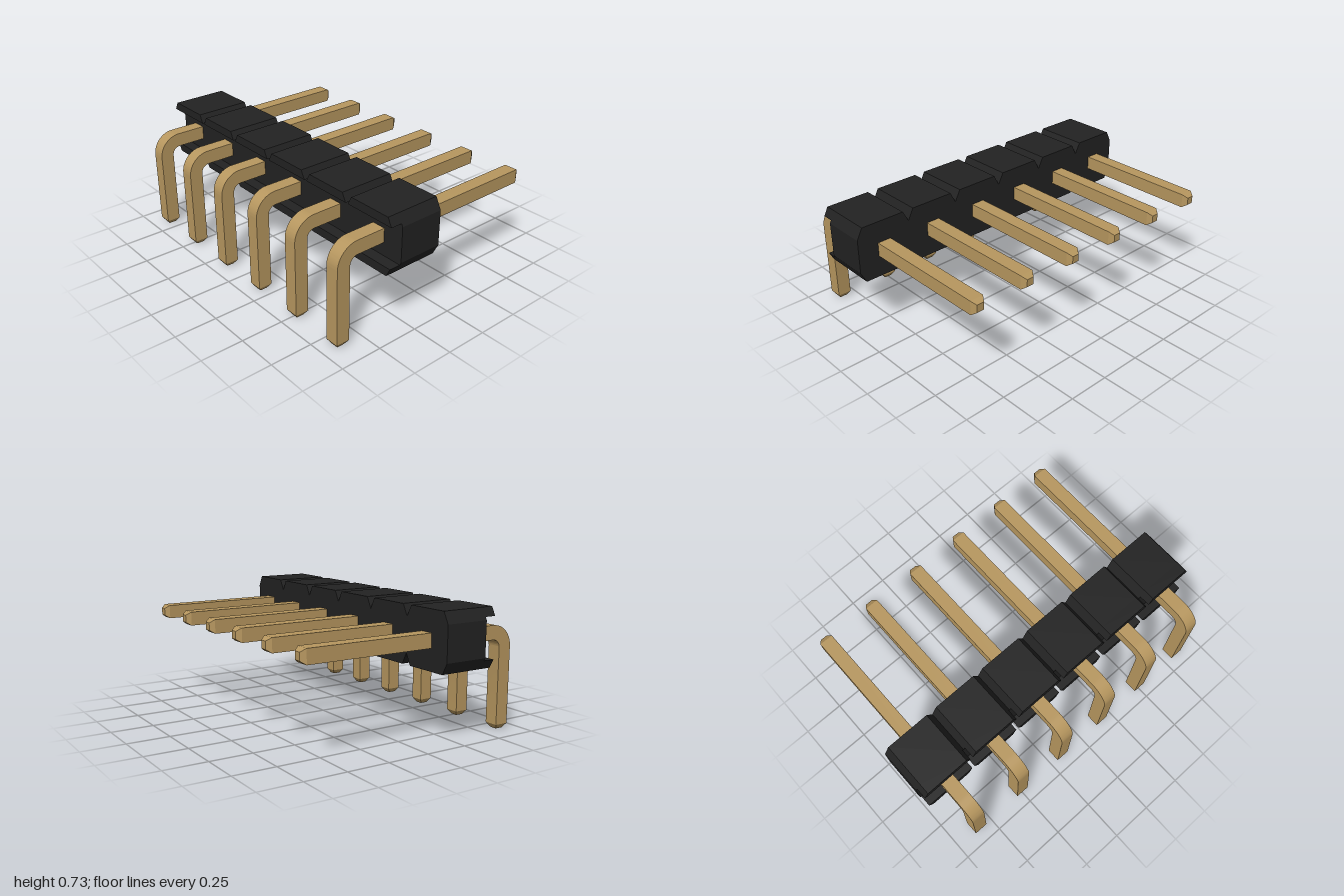
import * as THREE from 'three';
import { toCreasedNormals } from 'three/addons/utils/BufferGeometryUtils.js';

const PINS = 6, PITCH = 2 / PINS;
const Y0 = 0.396, Y1 = 0.729;          // housing bottom and top
const CH_Z = 0.034, CH_Y = 0.065;      // corner chamfer of each cell
const LIP = 0.049;                     // thickness of the rear lips
const X_BACK = -0.442, X_WALL = -0.375, X_FRONT = -0.11;
const HALF = 0.041, TIP = 0.022, TIP_LEN = 0.028;
const PIN_Y = 0.562, LEG_X = -0.639, X_END = 0.68;

// Extrude a (z, y) outline along x from x0 to x1
function extrudeX(points, x0, x1) {
  const shape = new THREE.Shape(points.map(([z, y]) => new THREE.Vector2(-z, y)));
  const geo = new THREE.ExtrudeGeometry(shape, { depth: x1 - x0, bevelEnabled: false });
  geo.rotateY(Math.PI / 2);
  return geo.translate(x0, 0, 0);
}

// Square frustum pointing up, starting at y = 0
function tipGeometry() {
  const geo = new THREE.CylinderGeometry(TIP * Math.SQRT2, HALF * Math.SQRT2, TIP_LEN, 4, 1);
  geo.rotateY(Math.PI / 4).translate(0, TIP_LEN / 2, 0);
  return toCreasedNormals(geo, 0.3);
}

// Side outline of the bent square pin
function pinGeometry() {
  const cx = -0.55, cy = PIN_Y + HALF - 0.13, end = X_END - TIP_LEN;
  const s = new THREE.Shape();
  s.moveTo(LEG_X - HALF, TIP_LEN);
  s.lineTo(LEG_X + HALF, TIP_LEN);
  s.lineTo(LEG_X + HALF, cy);
  s.absarc(cx, cy, 0.048, Math.PI, Math.PI / 2, true);
  s.lineTo(end, PIN_Y - HALF);
  s.lineTo(end, PIN_Y + HALF);
  s.lineTo(cx, PIN_Y + HALF);
  s.absarc(cx, cy, 0.13, Math.PI / 2, Math.PI, false);
  const geo = new THREE.ExtrudeGeometry(s, { depth: HALF * 2, bevelEnabled: false, curveSegments: 12 });
  return toCreasedNormals(geo.translate(0, 0, -HALF), 0.5);
}

export function createModel() {
  const model = new THREE.Group();
  const plastic = new THREE.MeshStandardMaterial({ color: 0x222222 });
  plastic.name = 'black plastic';
  const brass = new THREE.MeshStandardMaterial({ color: 0xb7975f });
  brass.name = 'brass';

  const add = (parent, name, geo, mat) => {
    const mesh = new THREE.Mesh(geo, mat);
    mesh.name = name;
    parent.add(mesh);
    return mesh;
  };

  // Housing body: one notched outline along the row
  const h = PITCH / 2, top = [], bottom = [];
  for (let i = 0; i < PINS; i++) {
    const z = -1 + h + i * PITCH;
    top.push([z - h, Y1 - CH_Y], [z - h + CH_Z, Y1], [z + h - CH_Z, Y1]);
    bottom.push([z - h, Y0 + CH_Y], [z - h + CH_Z, Y0], [z + h - CH_Z, Y0]);
  }
  top.push([1, Y1 - CH_Y]);
  bottom.push([1, Y0 + CH_Y]);
  add(model, 'housing', extrudeX([...top, ...bottom.reverse()], X_WALL, X_FRONT), plastic);

  // Rear lips, separated by the notches
  const a = h - CH_Z, b = a + CH_Z * LIP / CH_Y;
  const upper = extrudeX([[-b, Y1 - LIP], [-a, Y1], [a, Y1], [b, Y1 - LIP]], X_BACK, X_WALL);
  const lower = extrudeX([[-a, Y0], [-b, Y0 + LIP], [b, Y0 + LIP], [a, Y0]], X_BACK, X_WALL);

  const bent = pinGeometry(), tip = tipGeometry();
  for (let i = 0; i < PINS; i++) {
    const z = -1 + h + i * PITCH;
    add(model, 'upperLip', upper, plastic).position.z = z;
    add(model, 'lowerLip', lower, plastic).position.z = z;

    // Right-angle pin with tapered ends
    const pin = new THREE.Group();
    pin.name = 'pin';
    pin.position.z = z;
    add(pin, 'pinShaft', bent, brass);
    const front = add(pin, 'contactTip', tip, brass);
    front.position.set(X_END - TIP_LEN, PIN_Y, 0);
    front.rotation.z = -Math.PI / 2;
    const foot = add(pin, 'legTip', tip, brass);
    foot.position.set(LEG_X, TIP_LEN, 0);
    foot.rotation.z = Math.PI;
    model.add(pin);
  }
  return model;
}
